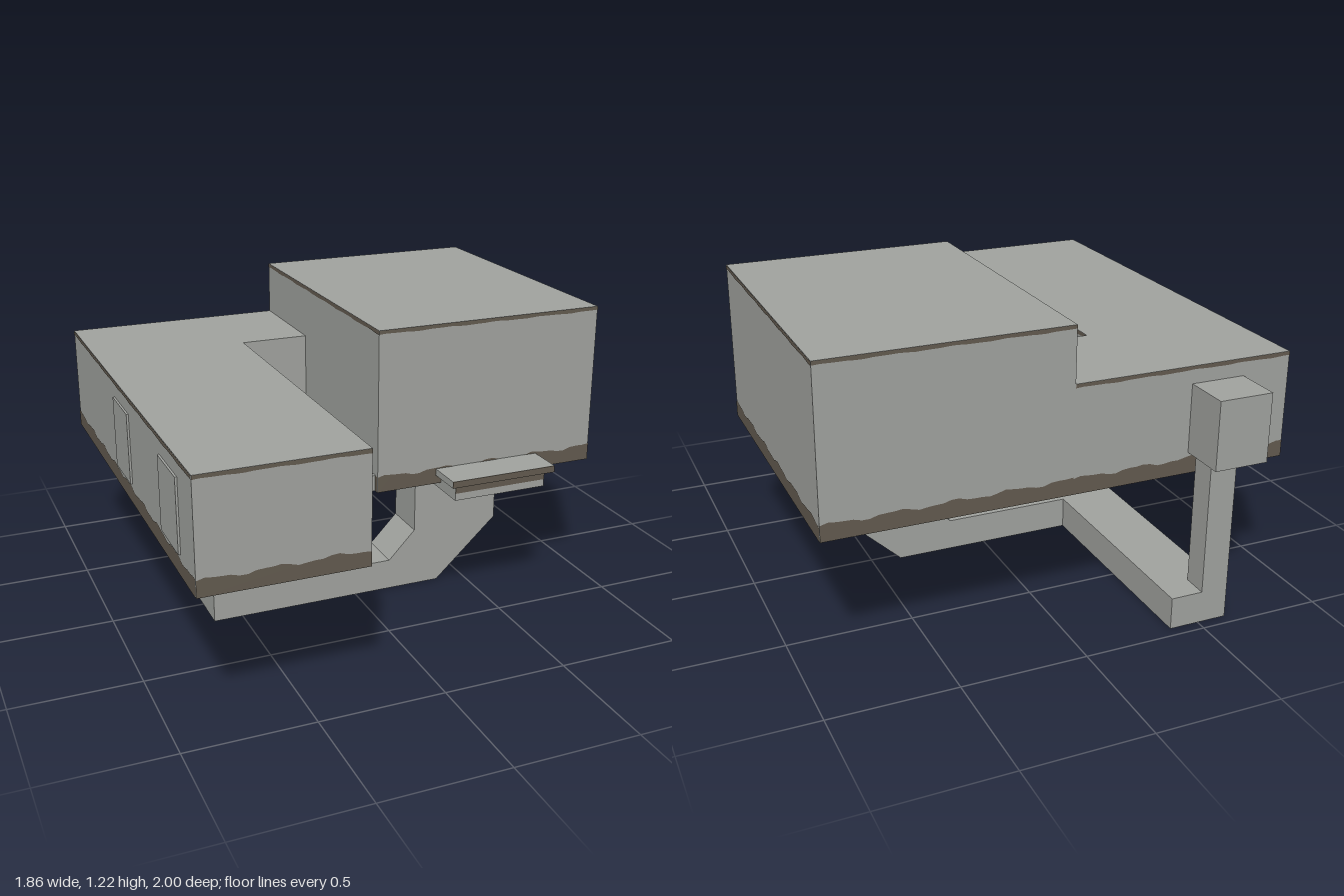
import * as THREE from 'three';

export function createModel() {
  const group = new THREE.Group();
  const concrete = new THREE.MeshStandardMaterial({ name: 'concrete grey', color: 0xa0a29e });
  const grime = new THREE.MeshStandardMaterial({ name: 'grime brown', color: 0x625a4f });

  const add = (name, geometry, material = concrete) => {
    const mesh = new THREE.Mesh(geometry, material);
    mesh.name = name;
    group.add(mesh);
    return mesh;
  };
  // box from its minimum and maximum on each axis
  const block = (name, [x0, x1], [y0, y1], [z0, z1], material) => {
    const mesh = add(name, new THREE.BoxGeometry(x1 - x0, y1 - y0, z1 - z0), material);
    mesh.position.set((x0 + x1) / 2, (y0 + y1) / 2, (z0 + z1) / 2);
    return mesh;
  };

  // main volumes
  block('tallHall', [-0.02, 0.93], [0.57, 1.22], [-0.81, 0.42]);
  block('longWing', [-0.92, -0.3], [0.57, 1.0], [-0.81, 1.0]);
  block('connector', [-0.3, -0.02], [0.57, 1.0], [-0.81, -0.35]);
  block('footbridge', [-0.3, -0.02], [0.57, 0.635], [0.33, 0.4]);

  // raised panels on both sides of the long wing
  for (const x of [-0.92, -0.3]) {
    for (const z of [-0.06, 0.605]) {
      block('wallPanel', [x - 0.008, x + 0.008], [0.65, 0.93], [z, z + 0.222]);
    }
  }

  // front step
  block('stepSlab', [0.23, 0.68], [0.605, 0.632], [0.42, 0.57]);
  block('stepBase', [0.255, 0.65], [0.54, 0.605], [0.21, 0.545]);
  block('stepSlabGrime', [0.23, 0.68], [0.605, 0.632], [0.57, 0.572], grime);
  block('stepBaseGrime', [0.255, 0.65], [0.57, 0.605], [0.545, 0.547], grime);

  // bent duct under the hall
  const duct = new THREE.Shape([
    [-0.62, 0], [0.38, 0], [0.65, 0.25], [0.65, 0.57],
    [0.27, 0.57], [0.27, 0.25], [0.155, 0.13], [-0.62, 0.13],
  ].map(([x, y]) => new THREE.Vector2(x, y)));
  add('bentDuct', new THREE.ExtrudeGeometry(duct, { depth: 0.19, bevelEnabled: false })).position.z = -0.03;

  // duct running to the back, riser and its end box
  block('rearDuct', [-0.62, -0.38], [0, 0.13], [-0.955, -0.03]);
  block('riser', [-0.62, -0.51], [0.13, 0.66], [-0.955, -0.85]);
  block('riserBox', [-0.72, -0.5], [0.655, 0.93], [-1.0, -0.81]);

  // band with one wavy edge along a wall; the wall runs left to right as seen from outside
  const band = (name, [x0, z0], [x1, z1], flat, wavy) => {
    const length = Math.hypot(x1 - x0, z1 - z0);
    const steps = Math.ceil(length / 0.03);
    const points = [new THREE.Vector2(0, flat), new THREE.Vector2(length, flat)];
    const amount = Math.abs(wavy - flat) * 0.1;
    for (let i = steps; i >= 0; i--) {
      const u = (length * i) / steps;
      points.push(new THREE.Vector2(u, wavy + amount * (Math.sin(u * 29) + 0.5 * Math.sin(u * 67))));
    }
    const mesh = add(name, new THREE.ShapeGeometry(new THREE.Shape(points)), grime);
    const dx = (x1 - x0) / length, dz = (z1 - z0) / length;
    mesh.position.set(x0 - dz * 0.002, 0, z0 + dx * 0.002);
    mesh.rotation.y = Math.atan2(-dz, dx);
  };
  const wall = (a, b, top) => {
    band('lowerGrime', a, b, 0.57, 0.633);
    if (top) band('upperGrime', a, b, top, top - 0.015);
  };

  // hall walls: front, right, back, inner side
  wall([-0.02, 0.42], [0.93, 0.42], 1.22);
  wall([0.93, 0.42], [0.93, -0.81], 1.22);
  wall([0.93, -0.81], [-0.02, -0.81], 1.22);
  wall([-0.02, -0.35], [-0.02, 0.42]);
  band('upperGrime', [-0.02, -0.81], [-0.02, 0.42], 1.22, 1.205);
  // wing walls: front, inner side, back, outer side
  wall([-0.92, 1.0], [-0.3, 1.0], 1.0);
  wall([-0.3, 1.0], [-0.3, -0.35], 1.0);
  wall([-0.02, -0.81], [-0.92, -0.81], 1.0);
  wall([-0.92, -0.81], [-0.92, 1.0], 1.0);

  return group;
}
